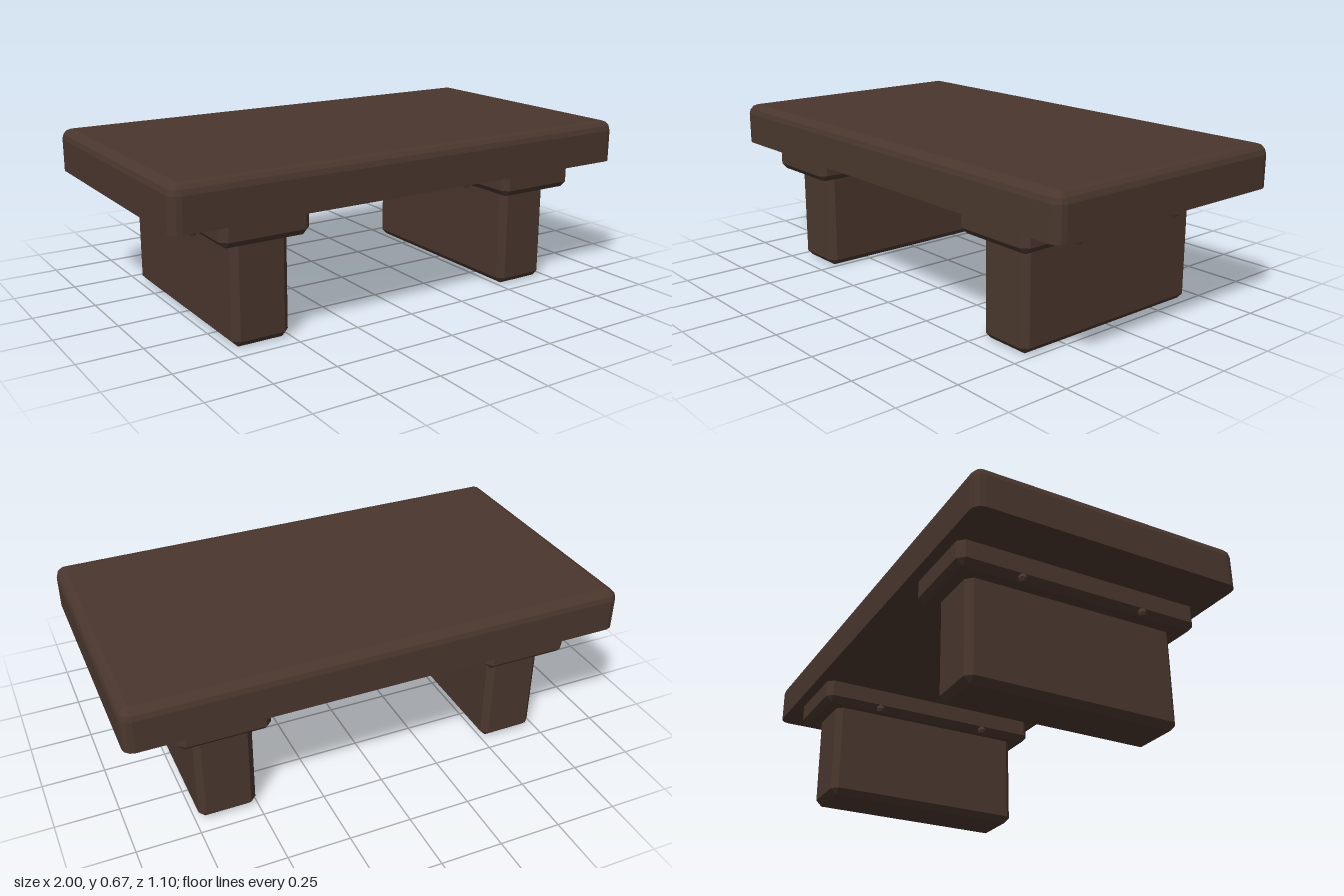
import * as THREE from 'three';

// Rounded rectangular block lofted through rings of [y, inset], bottom to top.
function chamferedBlock(halfX, halfZ, corner, steps, rings) {
  const outline = (y, inset) => {
    const r = Math.max(corner - inset, 0.001);
    const points = [];
    for (let q = 0; q < 4; q++) {
      const sx = q === 0 || q === 3 ? 1 : -1;
      const sz = q < 2 ? 1 : -1;
      for (let s = 0; s <= steps; s++) {
        const a = (q + s / steps) * Math.PI / 2;
        points.push([sx * (halfX - corner) + r * Math.cos(a), y, sz * (halfZ - corner) + r * Math.sin(a)]);
      }
    }
    return points;
  };
  const loops = rings.map(([y, inset]) => outline(y, inset));
  const n = loops[0].length;
  const pos = [];
  const tri = (a, b, c) => pos.push(...a, ...b, ...c);
  // Side walls
  for (let k = 0; k < loops.length - 1; k++) {
    for (let i = 0; i < n; i++) {
      const j = (i + 1) % n;
      const a = loops[k][i], b = loops[k][j], c = loops[k + 1][j], d = loops[k + 1][i];
      tri(a, d, c);
      tri(a, c, b);
    }
  }
  // Bottom and top caps
  const low = loops[0], high = loops[loops.length - 1];
  for (let i = 1; i < n - 1; i++) {
    tri(low[0], low[i], low[i + 1]);
    tri(high[0], high[i + 1], high[i]);
  }
  const geometry = new THREE.BufferGeometry();
  geometry.setAttribute('position', new THREE.Float32BufferAttribute(pos, 3));
  geometry.computeVertexNormals();
  return geometry;
}

export function createModel() {
  const model = new THREE.Group();
  model.name = 'lowTable';
  const wood = new THREE.MeshStandardMaterial({ color: 0x4a372e, flatShading: true });
  wood.name = 'darkWood';

  const add = (parent, name, geometry, x = 0, y = 0, z = 0) => {
    const mesh = new THREE.Mesh(geometry, wood);
    mesh.name = name;
    mesh.position.set(x, y, z);
    parent.add(mesh);
    return mesh;
  };

  // Thick slab with a rounded upper edge and a sharp lower edge
  add(model, 'tableTop', chamferedBlock(1, 0.552, 0.04, 3,
    [[0.495, 0], [0.625, 0], [0.645, 0.006], [0.659, 0.02], [0.665, 0.039]]));

  const legGeometry = chamferedBlock(0.115, 0.44, 0.025, 1, [[0, 0.024], [0.025, 0], [0.42, 0]]);
  const bracketGeometry = chamferedBlock(0.177, 0.508, 0.025, 1, [[0.4, 0.024], [0.425, 0], [0.5, 0]]);
  const pegGeometry = new THREE.SphereGeometry(0.019, 8, 4);
  const stemGeometry = new THREE.CylinderGeometry(0.01, 0.01, 0.026, 6);

  // Panel legs under wider support blocks, with small pegs on both long sides
  for (const side of [-1, 1]) {
    const support = new THREE.Group();
    support.name = side > 0 ? 'leftSupport' : 'rightSupport';
    add(support, 'leg', legGeometry, side * 0.618);
    add(support, 'supportBlock', bracketGeometry, side * 0.626);
    for (const dx of [-0.171, 0.171]) {
      for (const z of [-0.256, 0.256]) {
        add(support, 'peg', pegGeometry, side * 0.626 + dx, 0.406, z);
        add(support, 'pegStem', stemGeometry, side * 0.626 + dx, 0.412, z);
      }
    }
    model.add(support);
  }
  return model;
}
